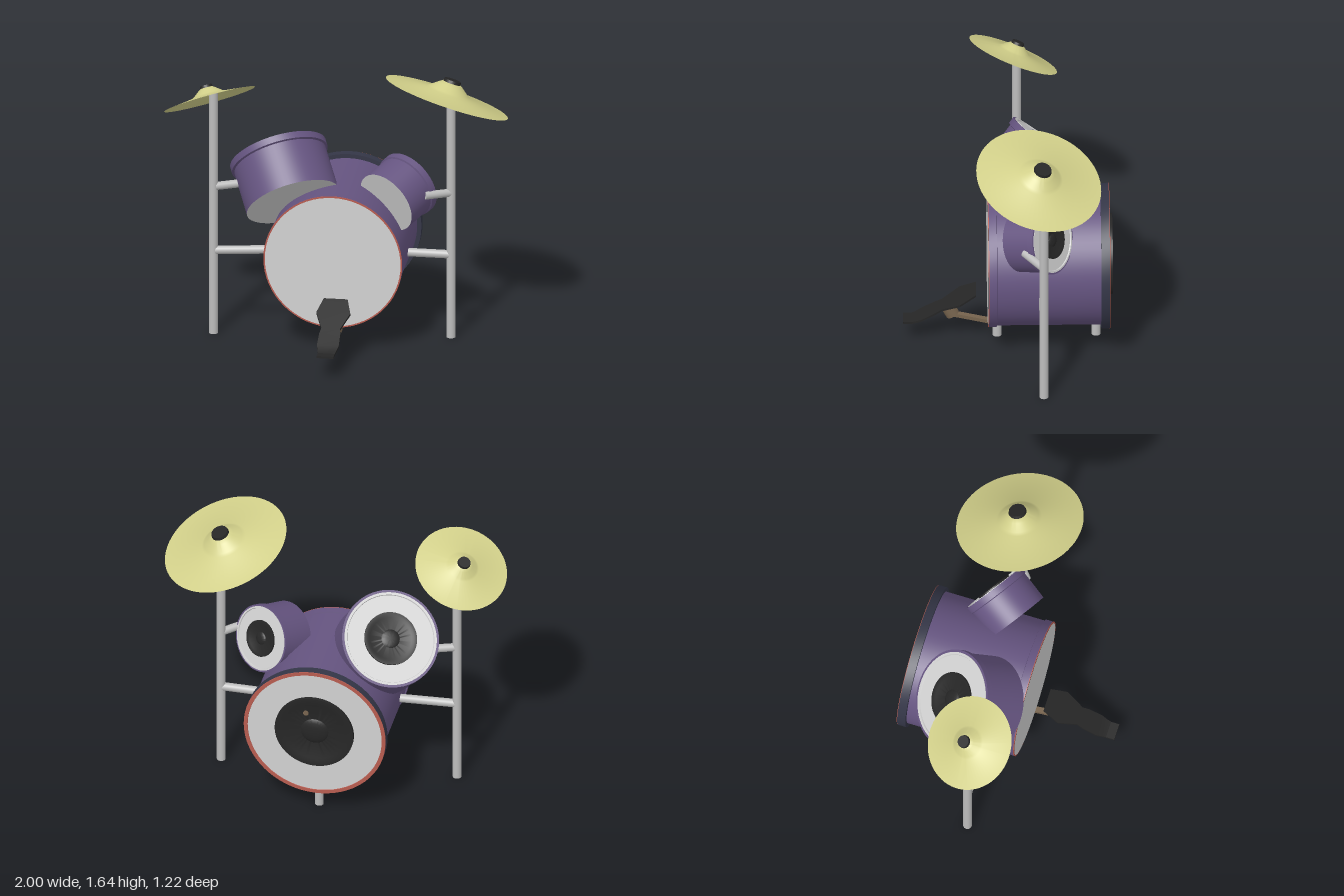
import * as THREE from 'three';
import { toCreasedNormals } from 'three/addons/utils/BufferGeometryUtils.js';

const mat = (name, color, side = THREE.FrontSide) => {
  const m = new THREE.MeshStandardMaterial({ color, side });
  m.name = name;
  return m;
};
const M = {
  shell: mat('purple shell', 0x655480),
  hoop: mat('dark navy hoop', 0x343647),
  head: mat('white drumhead', 0xd2d2d2),
  black: mat('black', 0x262626),
  red: mat('red trim', 0xb85c50),
  metal: mat('grey metal', 0xbcbcbc),
  brass: mat('brass', 0xd2d08a, THREE.DoubleSide),
  brown: mat('brown linkage', 0x78654f),
};
const UP = new THREE.Vector3(0, 1, 0);
const V = (a) => new THREE.Vector3(...a);

function add(parent, name, geometry, material) {
  const m = new THREE.Mesh(geometry, material);
  m.name = name;
  parent.add(m);
  return m;
}

// Surface of revolution about y from [radius, height] pairs, listed bottom to top
function lathe(points, crease = 0.5) {
  const g = new THREE.LatheGeometry(points.map((p) => new THREE.Vector2(...p)), 64);
  return toCreasedNormals(g, crease);
}

// Round bar between two points
function bar(parent, name, a, b, r, material = M.metal) {
  const d = V(b).sub(V(a));
  const m = add(parent, name, new THREE.CylinderGeometry(r, r, d.length(), 24), material);
  m.position.copy(V(a)).addScaledVector(d, 0.5);
  m.quaternion.setFromUnitVectors(UP, d.normalize());
  return m;
}

// Group whose local +y points along a direction
function aimed(parent, name, position, direction) {
  const g = new THREE.Group();
  g.name = name;
  g.position.set(...position);
  g.quaternion.setFromUnitVectors(UP, V(direction).normalize());
  parent.add(g);
  return g;
}

// Disc with raised lip, shallow cone and central dome
function speaker(parent, r, h, y) {
  const s = add(parent, 'speaker', lathe([
    [r, 0], [r, h], [r * 0.88, h], [r * 0.8, h * 0.7], [r * 0.35, h * 0.2],
    [r * 0.32, h * 0.45], [r * 0.25, h * 0.75], [r * 0.14, h * 0.95], [0, h],
  ]), M.black);
  s.position.y = y;
  return s;
}

// Tom placed by the centre of its batter side
function tom(parent, name, top, dir, r, length) {
  const g = aimed(parent, name, top, dir);
  add(g, 'shell', lathe([
    [r * 0.96, -length], [r * 0.955, -0.045], [r, -0.04], [r, 0], [r * 0.95, 0], [r * 0.94, -0.012],
  ]), M.shell);
  add(g, 'batterHead', lathe([
    [r * 0.95, -0.012], [r * 0.95, 0.003], [r * 0.9, 0.003], [r * 0.89, -0.004], [0, -0.004],
  ]), M.head);
  const bottom = add(g, 'bottomHead', new THREE.CircleGeometry(r * 0.96, 64), M.head);
  bottom.rotation.x = Math.PI / 2;
  bottom.position.y = -length;
  speaker(g, r * 0.54, 0.012, -0.003);
}

function bassDrum(parent) {
  // Local +y points to the back
  const g = aimed(parent, 'bassDrum', [0.01, 0.55, 0], [0, 0, -1]);
  add(g, 'shell', lathe([
    [0.4, -0.115], [0.408, -0.115], [0.408, -0.068], [0.4, -0.066], [0.4, 0.545],
  ]), M.shell);
  add(g, 'backHoop', lathe([
    [0.4, 0.54], [0.425, 0.54], [0.425, 0.59], [0.405, 0.59],
  ]), M.hoop);
  add(g, 'backTrim', lathe([[0.425, 0.59], [0.424, 0.593], [0.402, 0.593], [0.4, 0.588]]), M.red);
  add(g, 'backHead', lathe([[0.404, 0.588], [0.404, 0.59], [0, 0.59]]), M.head);
  add(g, 'frontTrim', lathe([[0.398, -0.117], [0.409, -0.117], [0.409, -0.113]]), M.red);
  const front = add(g, 'frontHead', new THREE.CircleGeometry(0.4, 64), M.head);
  front.rotation.x = Math.PI / 2;
  front.position.y = -0.118;
  const s = speaker(g, 0.235, 0.02, 0.59);
  s.position.z = 0.015;
  const spot = add(parent, 'speakerRivet', new THREE.CylinderGeometry(0.016, 0.016, 0.006, 20), M.brown);
  spot.rotation.x = Math.PI / 2;
  spot.position.set(0.06, 0.69, -0.604);
}

function cymbal(parent, name, centre, dir, r) {
  const g = aimed(parent, name, centre, dir);
  const k = r / 0.376;
  add(g, 'plate', lathe([
    [r, 0], [r * 0.36, 0.034 * k], [r * 0.31, 0.045 * k], [r * 0.2, 0.078 * k],
    [r * 0.14, 0.094 * k], [0, 0.098 * k],
  ], 0.9), M.brass);
  const nut = add(g, 'nut', new THREE.CylinderGeometry(0.13 * r, 0.145 * r, 0.022, 24), M.black);
  nut.position.y = 0.1 * k;
}

function pedal(parent) {
  const g = new THREE.Group();
  g.name = 'pedal';
  parent.add(g);
  // Footboard sections: z, y, half width
  const rows = [
    [0.185, 0.342, 0.07], [0.28, 0.291, 0.1], [0.385, 0.233, 0.055], [0.42, 0.214, 0.062],
    [0.5, 0.17, 0.064], [0.535, 0.152, 0.055], [0.56, 0.143, 0.05], [0.61, 0.143, 0.05],
  ];
  const geo = new THREE.BoxGeometry(1, 0.013, 1, 1, 1, rows.length - 1);
  const p = geo.attributes.position;
  for (let i = 0; i < p.count; i++) {
    const [z, y, w] = rows[Math.round((p.getZ(i) + 0.5) * (rows.length - 1))];
    p.setXYZ(i, 0.038 + Math.sign(p.getX(i)) * w, y + p.getY(i), z);
  }
  add(g, 'footboard', toCreasedNormals(geo, 0.3), M.black);
  // Pivot, linkage and mount
  bar(g, 'pivot', [0.038, 0.245, 0.36], [0.038, 0.172, 0.322], 0.04, M.brown);
  const link = add(g, 'link', new THREE.BoxGeometry(0.034, 0.022, 0.29), M.brown);
  link.position.set(0.038, 0.143, 0.19);
  link.rotation.x = -Math.atan2(0.065, 0.27);
  const mount = add(g, 'mount', new THREE.BoxGeometry(0.034, 0.06, 0.035), M.brown);
  mount.position.set(0.038, 0.127, 0.053);
}

export function createModel() {
  const model = new THREE.Group();
  model.name = 'drumKit';

  bassDrum(model);
  tom(model, 'largeTom', [-0.37, 1.06, -0.27], [-0.365, 0.7, -0.61], 0.29, 0.315);
  tom(model, 'smallTom', [0.41, 0.93, -0.255], [0.52, 0.3, -0.8], 0.2, 0.22);
  cymbal(model, 'largeCymbal', [0.64, 1.502, -0.17], [0.288, 0.925, -0.24], 0.376);
  cymbal(model, 'smallCymbal', [-0.74, 1.463, -0.045], [-0.325, 0.866, -0.377], 0.275);
  pedal(model);

  // Feet under the bass drum
  for (const z of [0.062, -0.515]) bar(model, 'foot', [0, 0, z], [0, 0.17, z], 0.026);

  // Cymbal stands with their holding arms
  bar(model, 'rightStand', [-0.72, 0, -0.065], [-0.72, 1.52, -0.065], 0.026);
  bar(model, 'leftStand', [0.66, 0, -0.2], [0.66, 1.57, -0.2], 0.026);
  bar(model, 'rightLowerArm', [-0.71, 0.517, -0.065], [-0.37, 0.526, -0.1], 0.025);
  bar(model, 'rightUpperArm', [-0.71, 0.915, -0.065], [-0.55, 0.92, -0.13], 0.024);
  bar(model, 'leftLowerArm', [0.66, 0.515, -0.2], [0.4, 0.515, -0.2], 0.025);
  bar(model, 'leftUpperArm', [0.66, 0.9, -0.2], [0.52, 0.915, -0.09], 0.024);
  return model;
}
